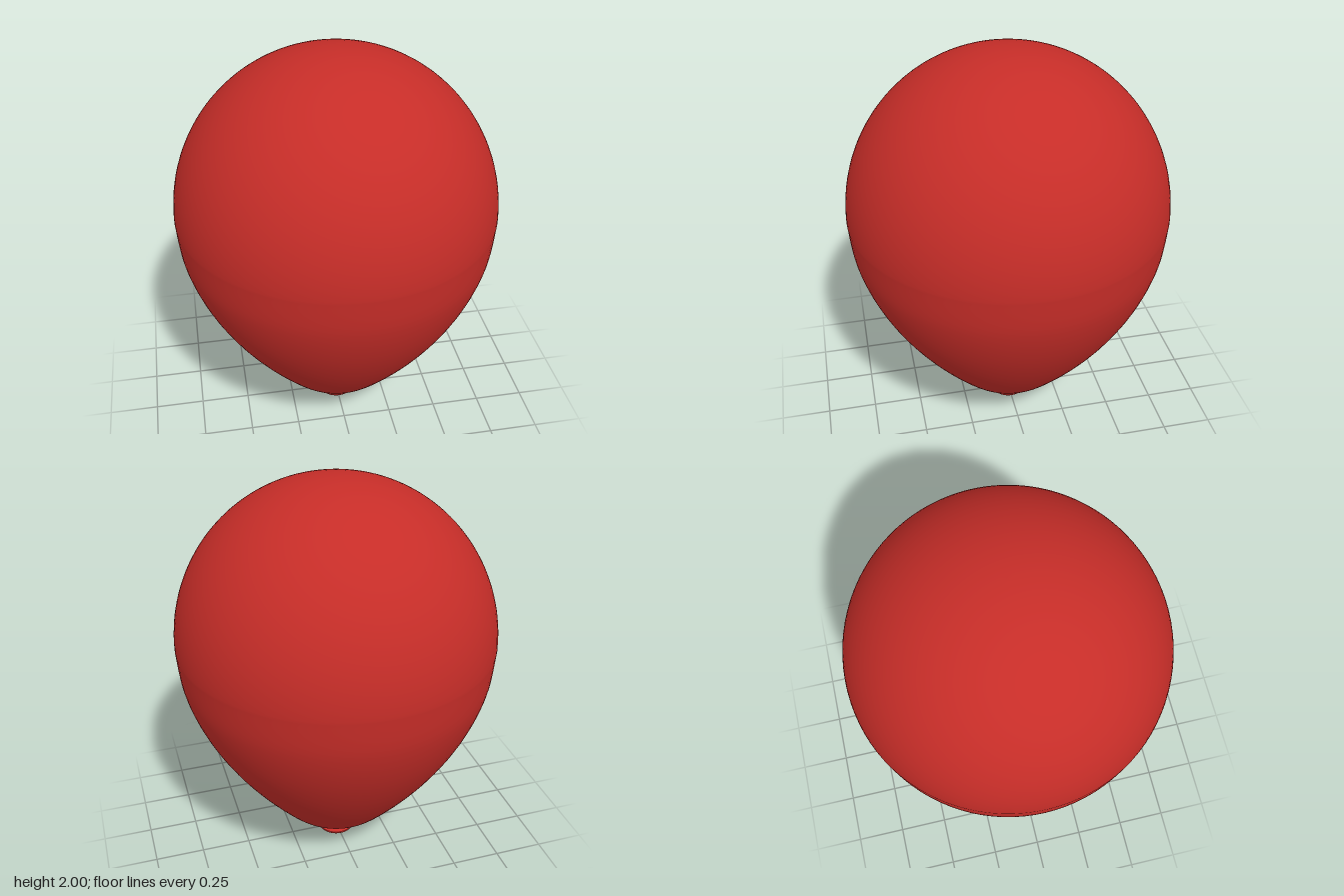
import * as THREE from 'three';

// Smooth curve through [radius, height] points, as a lathe profile
function smoothProfile(points, divisions) {
  return new THREE.SplineCurve(points.map(([r, y]) => new THREE.Vector2(r, y))).getPoints(divisions);
}

export function createModel() {
  const model = new THREE.Group();
  model.name = 'balloon';
  const rubber = new THREE.MeshStandardMaterial({ color: 0xc62d28, side: THREE.DoubleSide });

  function addLathe(name, profile, sides) {
    const mesh = new THREE.Mesh(new THREE.LatheGeometry(profile, sides), rubber);
    mesh.name = name;
    model.add(mesh);
  }

  // Inflated body: tapering lower half, then a round dome
  const radius = 0.79, middle = 1.2, domeHeight = 0.8;
  const body = smoothProfile([
    [0.035, 0.095], [0.11, 0.115], [0.2, 0.144], [0.29, 0.205], [0.457, 0.4],
    [0.597, 0.6], [0.702, 0.8], [0.768, 1.0], [radius, middle],
  ], 64);
  const domeSteps = 32;
  for (let i = 1; i <= domeSteps; i++) {
    const a = (i / domeSteps) * Math.PI / 2;
    body.push(new THREE.Vector2(i === domeSteps ? 0 : radius * Math.cos(a), middle + domeHeight * Math.sin(a)));
  }
  addLathe('body', body, 96);

  // Flared neck below the body
  addLathe('neck', smoothProfile([
    [0.092, 0.012], [0.072, 0.022], [0.055, 0.045], [0.043, 0.075], [0.037, 0.105],
  ], 16), 48);

  // Rolled lip at the mouth
  addLathe('lip', smoothProfile([
    [0.082, 0.003], [0.088, 0], [0.094, 0.006], [0.092, 0.012],
  ], 8), 48);

  // Slightly sunken mouth that closes the underside
  addLathe('mouth', smoothProfile([
    [0, 0.018], [0.04, 0.014], [0.082, 0.003],
  ], 8), 48);

  return model;
}
